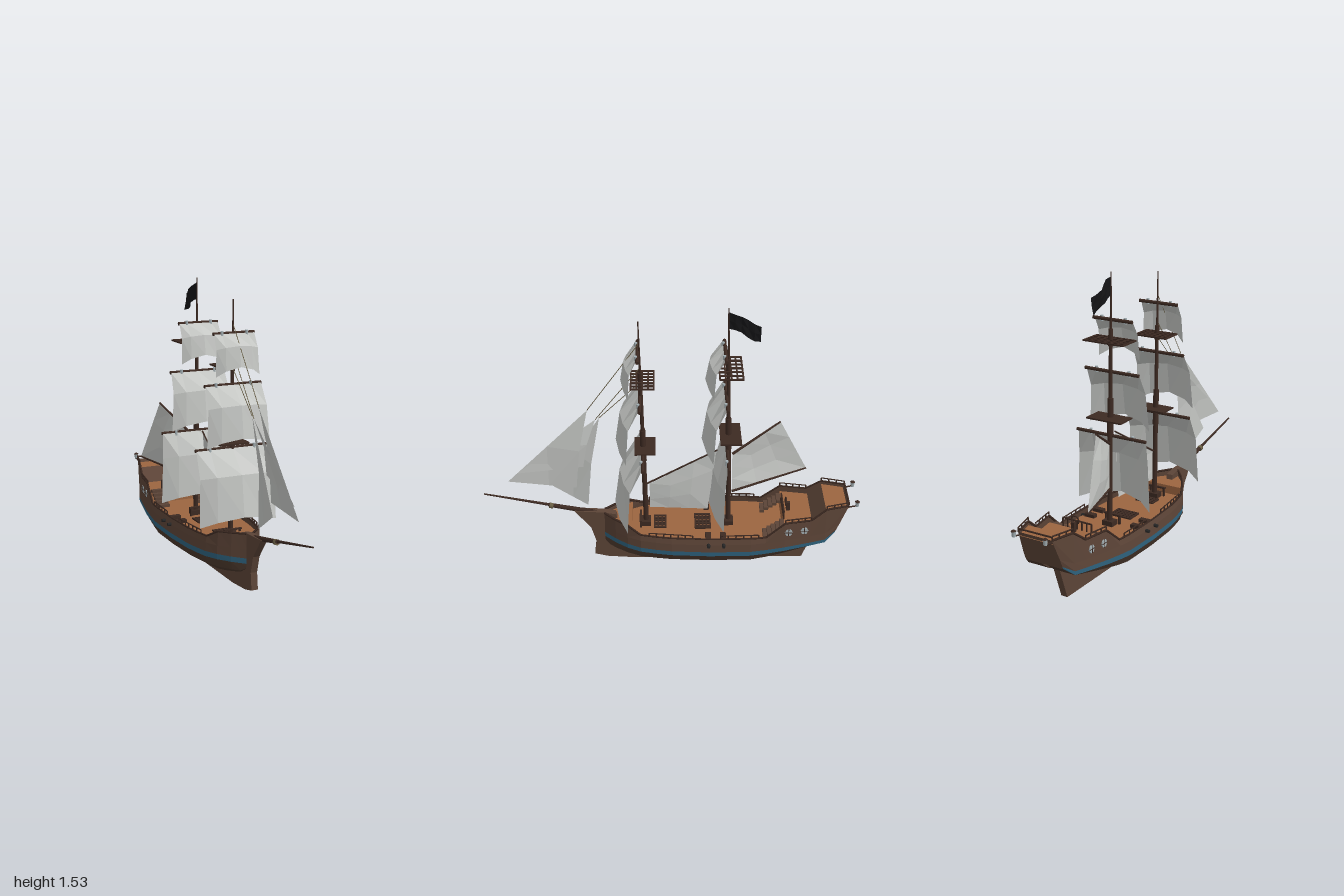
import * as THREE from 'three';

const mat = (name, color, double = true) => {
  const m = new THREE.MeshStandardMaterial({ color, side: double ? THREE.DoubleSide : THREE.FrontSide });
  m.name = name;
  return m;
};
const hullWood = mat('hull brown', 0x5c4437);
const lowWood = mat('lower hull brown', 0x4c392d);
const deckWood = mat('deck orange brown', 0x9c6540);
const darkWood = mat('dark wood', 0x3d2a22);
const blue = mat('stripe blue', 0x2f6480);
const canvas = mat('sail canvas', 0xc6c8c5);
const black = mat('flag black', 0x141416);
const glass = mat('pale metal', 0xa4b0b4);
const rope = mat('rope tan', 0x6b6045);
const iron = mat('iron', 0x262626);

const lerp = THREE.MathUtils.lerp;
const V = (x, y, z) => new THREE.Vector3(x, y, z);

// Piecewise linear lookup in [[z, value], ...] with z falling
function at(table, z) {
  for (let i = 1; i < table.length; i++) {
    const [a, va] = table[i - 1], [b, vb] = table[i];
    if (z >= b) return lerp(va, vb, Math.max(0, (a - z) / (a - b)));
  }
  return table[table.length - 1][1];
}
// Half width at the wale, and height of the bulwark top
const WIDTH = [[0.365, 0.014], [0.3, 0.075], [0.235, 0.122], [0.15, 0.163], [0, 0.188], [-0.2, 0.2], [-0.42, 0.198], [-0.6, 0.178], [-0.8, 0.142], [-0.95, 0.1]];
const TOP = [[0.365, 0.31], [0.235, 0.3], [0.165, 0.26], [-0.5, 0.26], [-0.6, 0.345], [-0.74, 0.345], [-0.82, 0.405], [-0.95, 0.405]];
const FLOOR = [[0.365, 0.13], [0.3, 0.09], [0.2, 0.06], [0.1, 0.05], [-0.3, 0.05], [-0.5, 0.085], [-0.65, 0.125], [-0.82, 0.19]];
const RISE = [[0.365, 0], [-0.45, 0], [-0.82, 0.025]];
const railX = z => at(WIDTH, z) * 0.95;

export function createModel() {
  const ship = new THREE.Group();
  ship.name = 'sailingShip';

  const add = (name, geo, material, pos) => {
    const m = new THREE.Mesh(geo, material);
    m.name = name;
    if (pos) m.position.copy(pos);
    ship.add(m);
    return m;
  };
  const box = (name, w, h, d, x, y, z, material = darkWood) => add(name, new THREE.BoxGeometry(w, h, d), material, V(x, y, z));
  // Round bar between two points
  const bar = (name, a, b, r0, r1, material = darkWood, sides = 8) => {
    const m = add(name, new THREE.CylinderGeometry(r1, r0, a.distanceTo(b), sides), material, a.clone().lerp(b, 0.5));
    m.quaternion.setFromUnitVectors(V(0, 1, 0), b.clone().sub(a).normalize());
    return m;
  };
  // Faceted surface through rows of points
  const sheet = (name, rows, material) => {
    const p = [];
    for (let i = 0; i + 1 < rows.length; i++)
      for (let j = 0; j + 1 < rows[i].length; j++) {
        const a = rows[i][j], b = rows[i + 1][j], c = rows[i + 1][j + 1], d = rows[i][j + 1];
        for (const q of [a, b, c, a, c, d]) p.push(q.x, q.y, q.z);
      }
    const g = new THREE.BufferGeometry();
    g.setAttribute('position', new THREE.Float32BufferAttribute(p, 3));
    g.computeVertexNormals();
    return add(name, g, material);
  };

  // Hull: cross-sections of seven levels, joined level by level
  const section = (z) => {
    const w = at(WIDTH, z), f = at(FLOOR, z), r = at(RISE, z), top = at(TOP, z);
    const low = Math.max(f, 0.11 + r * 3);
    return [[0.014, f], [w * 0.55, lerp(f, low, 0.35)], [w * 0.9, low], [w, Math.max(low, 0.152 + r * 1.5)],
      [w * 1.01, 0.18 + r * 1.2], [w * 0.99, 0.225 + r], [w * 0.95, top]].map(([x, y]) => V(x, y, z));
  };
  const stations = [0.365, 0.335, 0.3, 0.235, 0.165, 0.08, 0, -0.2, -0.42, -0.5, -0.6, -0.74, -0.82].map(section);
  const transom = [[0.014, 0.235], [0.06, 0.235], [0.1, 0.235], [0.108, 0.237], [0.108, 0.25], [0.107, 0.29], [0.096, 0.405]]
    .map(([x, y]) => V(x, y, -0.875 - (y - 0.235) * 0.4));
  stations.push(transom);
  const bands = [['bilge', 0, 3, lowWood], ['stripe', 3, 4, blue], ['topside', 4, 6, hullWood]];
  for (const s of [1, -1]) {
    const side = stations.map(r => r.map(p => V(p.x * s, p.y, p.z)));
    for (const [name, a, b, m] of bands) sheet(name, side.map(r => r.slice(a, b + 1)), m);
  }
  sheet('transom', [transom, transom.map(p => V(-p.x, p.y, p.z))], hullWood);

  // Keel, stem and beak in one plate
  const keel = new THREE.Shape([[0.42, 0.03], [0.35, 0.012], [0.2, 0], [-0.72, 0], [-0.79, 0.2], [-0.5, 0.14], [0.25, 0.14],
    [0.3, 0.3], [0.36, 0.312], [0.52, 0.322], [0.435, 0.21], [0.41, 0.12]].map(([z, y]) => new THREE.Vector2(-z, y)));
  const keelGeo = new THREE.ExtrudeGeometry(keel, { depth: 0.036, bevelEnabled: false });
  keelGeo.translate(0, 0, -0.018).rotateY(Math.PI / 2);
  add('keelAndStem', keelGeo, hullWood);

  // Decks
  const deck = (name, list, m) => sheet(name, list.map(([z, y]) => [V(-railX(z) * 0.99, y, z), V(railX(z) * 0.99, y, z)]), m);
  deck('foreDeck', [[0.36, 0.275], [0.3, 0.275], [0.235, 0.275], [0.21, 0.275], [0.21, 0.228]], deckWood);
  deck('mainDeck', [[0.235, 0.228], [0.15, 0.228], [0, 0.228], [-0.2, 0.228], [-0.42, 0.228], [-0.6, 0.228]], deckWood);
  deck('quarterBulkhead', [[-0.6, 0.228], [-0.6, 0.31]], deckWood);
  deck('quarterDeck', [[-0.6, 0.31], [-0.75, 0.31]], deckWood);
  deck('poopStep', [[-0.75, 0.31], [-0.82, 0.385]], hullWood);
  deck('poopDeck', [[-0.82, 0.385], [-0.94, 0.385]], deckWood);

  // Bulwark caps, rails, side windows, guns, stairs and stern lanterns
  const caps = [0.36, 0.3, 0.235, 0.165, 0.08, 0, -0.2, -0.42, -0.5, -0.6, -0.74, -0.82, -0.94];
  for (const s of [1, -1]) {
    const edge = (z, dy = 0) => V(s * railX(z), at(TOP, z) + dy, z);
    for (let i = 0; i + 1 < caps.length; i++) bar('bulwarkCap', edge(caps[i]), edge(caps[i + 1]), 0.006, 0.006, darkWood, 4);
    for (const [z0, z1, n] of [[0.12, -0.11, 6], [-0.26, -0.46, 5], [-0.6, -0.74, 4], [-0.82, -0.94, 3]]) {
      bar('handRail', edge(z0, 0.02), edge(z1, 0.02), 0.004, 0.004, darkWood, 4);
      for (let i = 0; i <= n; i++) {
        const z = lerp(z0, z1, i / n);
        bar('railPost', edge(z), edge(z, 0.02), 0.004, 0.004, darkWood, 4);
      }
    }
    for (const z of [-0.62, -0.705]) {
      const x = s * (at(WIDTH, z) * 0.971 + 0.001);
      bar('sideWindow', V(x - s * 0.003, 0.285, z), V(x + s * 0.003, 0.285, z), 0.022, 0.022, glass, 6);
      box('windowBar', 0.008, 0.042, 0.004, x, 0.285, z);
      box('windowBar', 0.008, 0.004, 0.042, x, 0.285, z);
    }
    for (const z of [-0.195, -0.275]) {
      bar('gun', V(s * 0.13, 0.226, z), V(s * 0.216, 0.226, z), 0.012, 0.009, iron);
      box('gunCarriage', 0.06, 0.02, 0.03, s * 0.14, 0.236, z);
    }
    for (let i = 0; i < 5; i++) box('stair', 0.07, 0.016, 0.024, s * 0.115, 0.238 + i * 0.016, -0.5 - i * 0.022, hullWood);
    bar('lanternPost', V(s * 0.09, 0.39, -0.94), V(s * 0.09, 0.4, -0.985), 0.004, 0.004);
    bar('lantern', V(s * 0.09, 0.397, -0.985), V(s * 0.09, 0.425, -0.985), 0.009, 0.012, glass);
    bar('lanternCap', V(s * 0.09, 0.425, -0.985), V(s * 0.09, 0.433, -0.985), 0.014, 0.004);
  }
  bar('sternRail', V(-0.095, 0.42, -0.94), V(0.095, 0.42, -0.94), 0.005, 0.005, darkWood, 4);
  bar('quarterRail', V(-0.085, 0.355, -0.6), V(0.085, 0.355, -0.6), 0.005, 0.005, darkWood, 4);
  for (let i = 0; i < 7; i++) box('quarterPost', 0.006, 0.045, 0.006, -0.084 + i * 0.028, 0.332, -0.6);
  box('helmStand', 0.02, 0.05, 0.02, 0, 0.335, -0.63);
  add('helmWheel', new THREE.TorusGeometry(0.022, 0.004, 5, 10), darkWood, V(0, 0.365, -0.617));

  // Lattice used for hatches and mast platforms
  const lattice = (name, y, z, hw, hd, nx, nz) => {
    for (let i = 0; i <= nx; i++) box(name, 0.008, 0.008, hd * 2, lerp(-hw, hw, i / nx), y, z);
    for (let i = 0; i <= nz; i++) box(name, hw * 2 + 0.008, 0.008, 0.008, 0, y, lerp(z - hd, z + hd, i / nz));
  };
  lattice('hatchGrating', 0.236, -0.17, 0.06, 0.04, 6, 4);
  lattice('foreHatch', 0.236, 0.06, 0.05, 0.03, 5, 3);

  // Square sail on its yard
  const squareSail = (z, y0, y1, w0, w1, mid, edge) => {
    sheet('squareSail', [[0, 0], [0.35, 0.8], [1, 1]].map(([v, d]) => [-1, -0.62, 0, 0.62, 1].map(u => {
      const k = 1 - u * u;
      return V(u * lerp(w0, w1, v), lerp(y0, y1 + 0.05 * k, v), z + 0.008 + d * lerp(edge, mid, k));
    })), canvas);
    bar('yard', V(-w0 - 0.003, y0, z), V(w0 + 0.003, y0, z), 0.009, 0.009);
    for (const s of [1, -1]) bar('block', V(s * w0 * 0.62, y0 - 0.015, z + 0.008), V(s * w0 * 0.62, y0 + 0.014, z + 0.008), 0.008, 0.008, glass);
  };
  // Masts: base z, top z, top height, joints, platforms, then yards
  const mast = (zb, zt, top, j1, j2, p1, p2, hw, sails) => {
    const c = y => V(0, y, lerp(zb, zt, (y - 0.22) / (top - 0.22)));
    bar('lowerMast', c(0.2), c(j1), 0.014, 0.012);
    bar('mastDoubling', c(p1 - 0.09), c(j1), 0.016, 0.015);
    bar('middleMast', c(j1), c(j2), 0.01, 0.009);
    bar('mastDoubling', c(p2 - 0.03), c(j2), 0.013, 0.012);
    bar('topMast', c(j2), c(top), 0.006, 0.003);
    box('mastFoot', 0.06, 0.03, 0.05, 0, 0.24, zb);
    box('pinRail', 0.1, 0.008, 0.012, 0, 0.275, zb + 0.03);
    for (const s of [1, -1]) box('pinPost', 0.01, 0.05, 0.01, s * 0.04, 0.25, zb + 0.03);
    box('lowerPlatform', hw * 1.8, 0.008, 0.11, 0, p1, c(p1).z - 0.01);
    lattice('upperPlatform', p2, c(p2).z - 0.01, hw, 0.058, 6, 4);
    for (const s of sails) squareSail(...s);
  };
  mast(0.135, 0.163, 1.46, 0.83, 1.175, 0.73, 1.13, 0.09, [
    [0.148, 0.705, 0.325, 0.2, 0.215, 0.145, 0.075],
    [0.16, 1.033, 0.73, 0.154, 0.175, 0.12, 0.065],
    [0.168, 1.293, 1.085, 0.11, 0.12, 0.08, 0.042]]);
  mast(-0.31, -0.278, 1.53, 0.9, 1.25, 0.8, 1.195, 0.112, [
    [-0.292, 0.705, 0.325, 0.2, 0.215, 0.085, 0.012],
    [-0.28, 1.033, 0.73, 0.154, 0.175, 0.115, 0.06],
    [-0.268, 1.293, 1.085, 0.11, 0.12, 0.09, 0.05]]);

  // Fore-and-aft sails: four corners with a soft belly across
  const gaffSail = (name, [a, b, c, d], belly) => {
    const rows = [0, 0.33, 0.67, 1].map(v => [0, 0.33, 0.67, 1].map(u => {
      const p = a.clone().lerp(b, u).lerp(d.clone().lerp(c, u), v);
      p.x += belly * 16 * u * (1 - u) * v * (1 - v);
      return p;
    }));
    sheet(name, rows, canvas);
  };
  const gaff = [V(-0.01, 0.67, -0.32), V(-0.1, 0.812, -0.575), V(-0.155, 0.475, -0.735), V(-0.01, 0.43, -0.325)];
  gaffSail('spanker', gaff, -0.02);
  bar('spankerGaff', gaff[0], gaff[1], 0.008, 0.005);
  bar('spankerBoom', gaff[3], gaff[2], 0.008, 0.005);
  gaffSail('midSail', [V(0, 0.49, 0.115), V(0.01, 0.705, -0.235), V(0.02, 0.335, -0.195), V(0, 0.335, 0.115)], 0.012);
  bar('midGaff', V(0, 0.49, 0.13), V(0.01, 0.71, -0.24), 0.005, 0.004);

  // Bowsprit, headsails and stays
  bar('bowsprit', V(0, 0.3, 0.4), V(0, 0.355, 0.66), 0.014, 0.011);
  bar('jibBoom', V(0, 0.348, 0.62), V(0, 0.43, 1), 0.008, 0.004);
  bar('bowspritBand', V(0, 0.347, 0.635), V(0, 0.351, 0.655), 0.015, 0.015, rope);
  const jibs = [
    [V(0, 0.51, 0.865), V(0.012, 0.96, 0.43), V(0.046, 0.5, 0.5)],
    [V(0.005, 0.565, 0.815), V(0.005, 0.9, 0.39), V(0.04, 0.63, 0.46)],
    [V(-0.02, 0.475, 0.645), V(0.005, 0.91, 0.37), V(0.005, 0.355, 0.445)]];
  const heads = [V(0, 1.34, 0.16), V(0, 1.2, 0.158), V(0, 1.12, 0.155)];
  jibs.forEach(([tack, head, clew], i) => {
    const hollow = head.clone().lerp(clew, 0.5).add(V(0.014, 0, 0.012));
    const luff = tack.clone().lerp(head, 0.5);
    sheet('jib', [[tack, tack], [luff, tack.clone().lerp(clew, 0.6)], [luff, hollow], [head, hollow]], canvas);
    sheet('jibClew', [[tack.clone().lerp(clew, 0.6), clew], [hollow, clew]], canvas);
    bar('stay', head, heads[i], 0.002, 0.002, rope, 4);
  });

  // Waving flag
  sheet('flag', [0, 0.2, 0.4, 0.6, 0.8, 1].map(u => [0, 0.5, 1].map(v =>
    V(Math.sin(u * 8 + v * 2) * 0.01 * Math.min(1, u * 4), 1.508 - u * 0.075 - v * 0.09 + 0.006 * Math.sin(u * 6), -0.28 - u * 0.16))), black);

  return ship;
}
